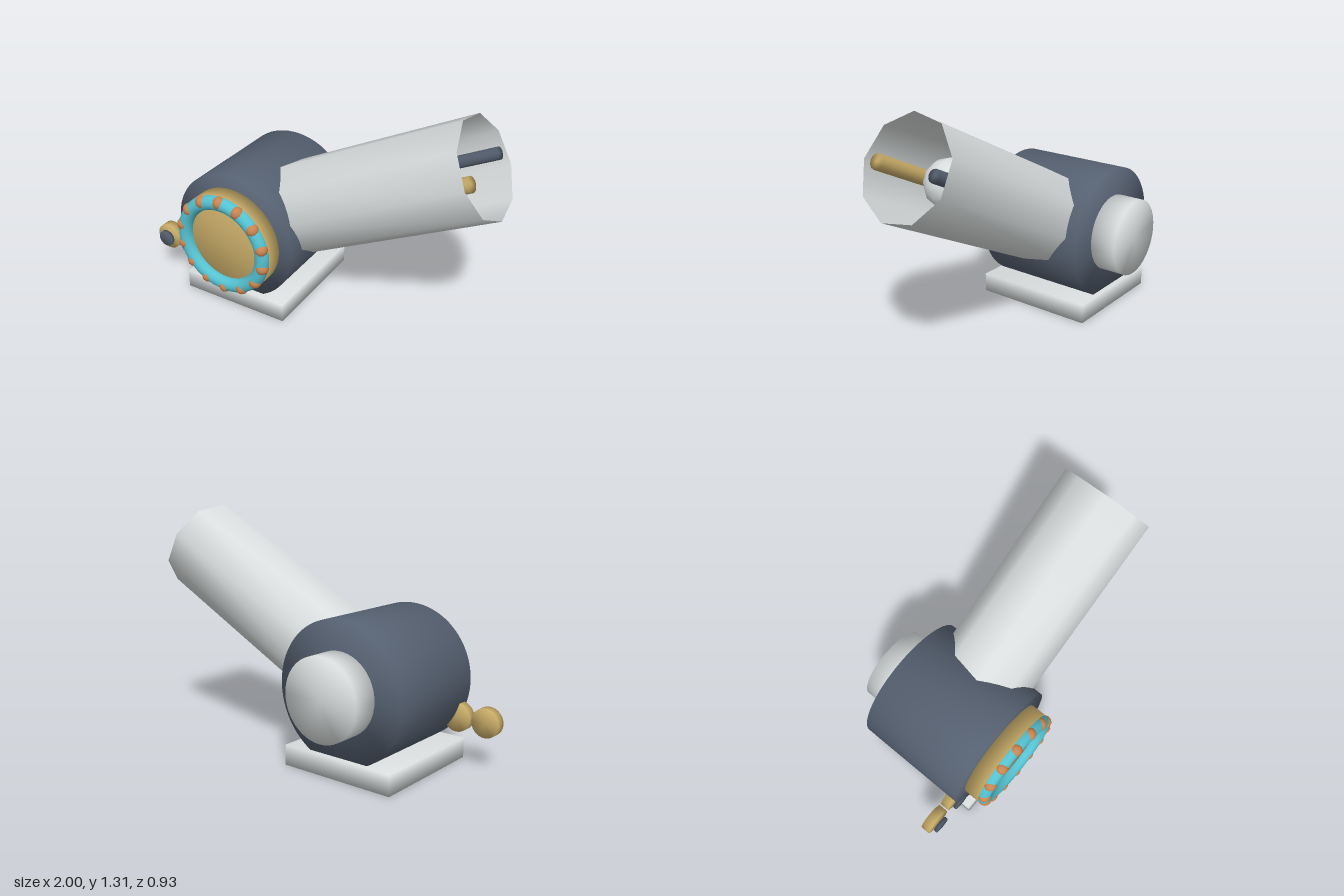
import * as THREE from 'three';
import { mergeVertices } from 'three/addons/utils/BufferGeometryUtils.js';

const mat = (name, color, side = THREE.FrontSide) => {
  const m = new THREE.MeshStandardMaterial({ color, side });
  m.name = name;
  return m;
};

// Weld vertices so shading runs softly over the edges
function soft(geo) {
  geo.deleteAttribute('uv');
  geo.deleteAttribute('normal');
  const g = mergeVertices(geo, 1e-4);
  g.computeVertexNormals();
  return g;
}

export function createModel() {
  const white = mat('white', 0xd9dddd, THREE.DoubleSide);
  const slate = mat('slate', 0x556070);
  const gold = mat('gold', 0xc8ac68);
  const cyan = mat('cyan', 0x56c3d2);
  const copper = mat('copper', 0xc98550);

  const model = new THREE.Group();
  model.name = 'model';
  const add = (name, geo, material, x, y, z, parent = model) => {
    const mesh = new THREE.Mesh(geo, material);
    mesh.name = name;
    mesh.position.set(x, y, z);
    parent.add(mesh);
    return mesh;
  };
  // Solid round part along z, between two depths
  const disc = (name, material, r, x, y, z0, z1, sides = 48) => add(name,
    soft(new THREE.CylinderGeometry(r, r, z1 - z0, sides).rotateX(Math.PI / 2)),
    material, x, y, (z0 + z1) / 2);

  const cx = -0.41, cy = 0.44;

  // Base and drum body
  add('base', soft(new THREE.BoxGeometry(0.66, 0.11, 0.7)), white, cx, 0.055, 0.005);
  disc('body', slate, 0.376, cx, cy, -0.318, 0.32, 64);
  disc('rearHub', white, 0.219, cx, cy, -0.465, -0.31);
  disc('frontDial', gold, 0.298, cx, cy, 0.31, 0.41);

  // Dial ring with beads
  add('dialRing', new THREE.TorusGeometry(0.257, 0.041, 12, 56), cyan, cx, cy, 0.417);
  const bead = new THREE.SphereGeometry(0.036, 12, 8);
  for (let i = 0; i < 14; i++) {
    const a = (i / 14) * Math.PI * 2;
    add('ringBead', bead, copper, cx + 0.268 * Math.sin(a), cy + 0.268 * Math.cos(a), 0.429);
  }

  // Side knobs
  for (const x of [-0.92, -0.755]) {
    disc('knob', gold, 0.078, x, 0.255, 0.24, 0.292, 32);
    disc('knobCap', slate, 0.048, x, 0.255, 0.305, 0.323, 24);
  }

  // Slanted open barrel; local y runs along its axis, origin at the mouth
  const barrel = new THREE.Group();
  barrel.name = 'barrel';
  barrel.position.set(0.88, 1.075, 0.003);
  barrel.rotation.z = -1.099;
  model.add(barrel);
  const length = 1.42;
  add('barrelShell', soft(new THREE.CylinderGeometry(0.27, 0.27, length, 9, 1, true)),
    white, 0, -length / 2, 0, barrel);

  // Inside the barrel: two rods and a ball
  const rod = (name, material, r, z) => add(name,
    soft(new THREE.CylinderGeometry(r, r, 0.9, 12)), material, 0, -0.45, z, barrel);
  rod('goldRod', gold, 0.041, 0.185);
  rod('slateRod', slate, 0.034, -0.18);
  add('ball', new THREE.SphereGeometry(0.132, 10, 8), white, 0, -0.33, 0, barrel);

  return model;
}
